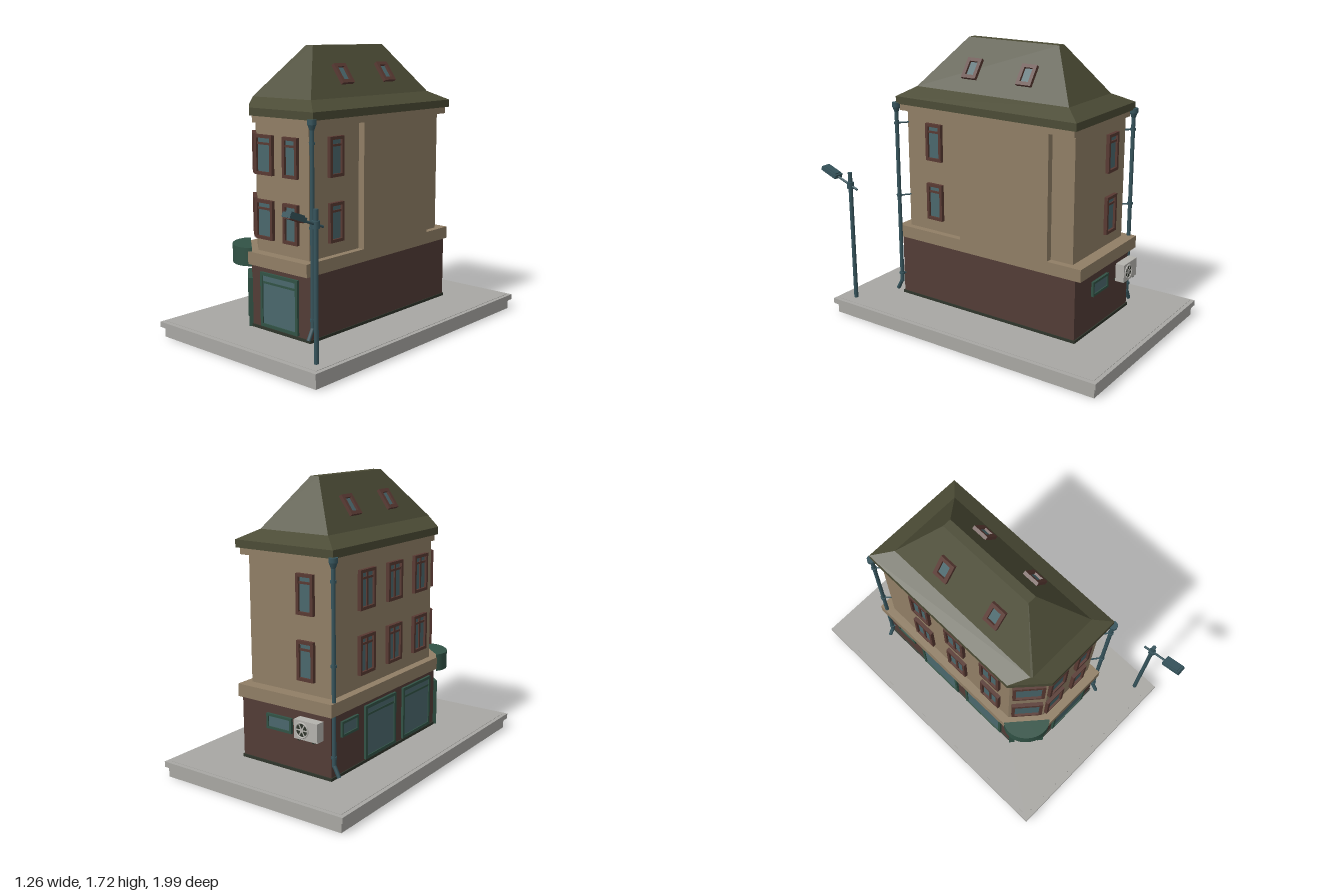
import * as THREE from 'three';

const mat = (name, color) => Object.assign(new THREE.MeshStandardMaterial({ color }), { name });

export function createModel() {
  const M = {
    stone: mat('paving grey', 0xa8a7a3), tan: mat('tan plaster', 0x907e65), brown: mat('brown render', 0x523c36),
    roof: mat('olive roof', 0x4b4b35), frame: mat('window brown', 0x583932), green: mat('shop green', 0x315245),
    glass: mat('glass', 0x4a676c), metal: mat('teal metal', 0x36545c), pale: mat('pale grey', 0xb4b2ad),
    dark: mat('dark base', 0x2f352b),
  };
  const root = new THREE.Group();
  root.name = 'cornerHouse';

  const add = (parent, name, geo, m, x = 0, y = 0, z = 0) => {
    const mesh = new THREE.Mesh(geo, m);
    mesh.name = name;
    mesh.position.set(x, y, z);
    parent.add(mesh);
    return mesh;
  };
  const box = (parent, name, m, w, h, d, x, y, z) => add(parent, name, new THREE.BoxGeometry(w, h, d), m, x, y, z);
  const group = (parent, name, x, y, z, ry = 0) => {
    const g = new THREE.Group();
    g.name = name;
    g.position.set(x, y, z);
    g.rotation.y = ry;
    parent.add(g);
    return g;
  };
  // cylinder between two points
  const rod = (parent, name, m, a, b, r, r2 = r, sides = 10) => {
    const p = new THREE.Vector3(...a), q = new THREE.Vector3(...b), d = q.clone().sub(p);
    const mesh = add(parent, name, new THREE.CylinderGeometry(r2, r, d.length(), sides), m);
    mesh.position.copy(p).add(q).multiplyScalar(0.5);
    mesh.quaternion.setFromUnitVectors(new THREE.Vector3(0, 1, 0), d.normalize());
    return mesh;
  };

  // floor plan with the front corner at -x cut off
  const plan = (x0, x1, z0, z1, cx, cz) => [[x0, z0], [x1, z0], [x1, z1], [cx, z1], [x0, cz]];
  // closed, flat-faced solid through plan outlines at given heights
  const loft = (rings) => {
    const pos = [], pts = rings.map(([y, p]) => p.map(([x, z]) => [x, y, z]));
    const tri = (a, b, c) => pos.push(...a, ...b, ...c);
    const n = pts[0].length, top = pts[pts.length - 1];
    for (let r = 0; r + 1 < pts.length; r++) for (let i = 0; i < n; i++) {
      const j = (i + 1) % n, lo = pts[r], hi = pts[r + 1];
      tri(lo[j], lo[i], hi[i]);
      tri(lo[j], hi[i], hi[j]);
    }
    for (let k = 1; k + 1 < n; k++) {
      tri(pts[0][0], pts[0][k], pts[0][k + 1]);
      tri(top[0], top[k + 1], top[k]);
    }
    const g = new THREE.BufferGeometry();
    g.setAttribute('position', new THREE.Float32BufferAttribute(pos, 3));
    g.computeVertexNormals();
    return g;
  };
  const prism = (name, m, p, y0, y1) => add(root, name, loft([[y0, p], [y1, p]]), m);

  // pavement
  box(root, 'pavementBase', M.stone, 1.23, 0.062, 1.85, 0, 0.031, -0.06);
  box(root, 'pavementSlab', M.stone, 1.265, 0.033, 1.885, 0, 0.0775, -0.0575);
  box(root, 'pavingSurface', M.stone, 1.215, 0.002, 1.83, 0, 0.095, -0.06);

  // walls, band and cornice
  const ground = plan(-0.325, 0.305, -0.675, 0.575, -0.155, 0.425);
  const upper = plan(-0.305, 0.266, -0.635, 0.54, -0.14, 0.395);
  prism('plinth', M.dark, plan(-0.332, 0.31, -0.682, 0.582, -0.158, 0.428), 0.095, 0.113);
  prism('groundFloor', M.brown, ground, 0.113, 0.48);
  prism('floorBand', M.tan, plan(-0.355, 0.307, -0.71, 0.605, -0.165, 0.44), 0.475, 0.55);
  prism('upperFloors', M.tan, upper, 0.55, 1.29);
  prism('cornice', M.tan, plan(-0.32, 0.315, -0.655, 0.558, -0.16, 0.41), 1.29, 1.332);
  box(root, 'sideWallProjection', M.tan, 0.05, 0.75, 0.615, 0.282, 0.92, -0.1825);

  // roof with flared eaves
  const eave = plan(-0.343, 0.33, -0.675, 0.575, -0.163, 0.41);
  add(root, 'roof', loft([
    [1.33, eave], [1.375, eave],
    [1.43, plan(-0.235, 0.233, -0.57, 0.487, -0.225, 0.477)],
    [1.72, plan(-0.028, 0.026, -0.375, 0.25, -0.027, 0.249)],
  ]), M.roof);

  // window facing +z, back plane at z = 0
  const windowUnit = (parent, name, w, h, x, y, z, ry, o = {}) => {
    const { m = M.frame, bar = 0.018, depth = 0.022, transom = 0.78, mullion = false } = o;
    const g = group(parent, name, x, y, z, ry);
    for (const s of [-1, 1]) {
      box(g, 'jamb', m, bar, h, depth, s * (w - bar) / 2, 0, depth / 2);
      box(g, 'rail', m, w - 2 * bar, bar, depth, 0, s * (h - bar) / 2, depth / 2);
    }
    box(g, 'pane', M.glass, w - 2 * bar, h - 2 * bar, 0.008, 0, 0, 0.004);
    if (transom) box(g, 'transom', m, w - 2 * bar, bar * 0.7, depth * 0.7, 0, h * (transom - 0.5), depth * 0.35);
    if (mullion) box(g, 'mullion', m, bar * 0.8, h - 2 * bar, depth * 0.7, 0, 0, depth * 0.35);
    return g;
  };
  const Q = Math.PI / 2;
  const diag = Math.atan2(-0.145, 0.165);

  // upper storey windows
  for (const y of [0.74, 1.112]) {
    windowUnit(root, 'frontWindowWide', 0.14, 0.228, -0.072, y, 0.54, 0);
    windowUnit(root, 'frontWindow', 0.112, 0.228, 0.136, y, 0.54, 0);
    windowUnit(root, 'cornerWindow', 0.185, 0.228, -0.2225, y, 0.4675, diag);
    windowUnit(root, 'leftWindow', 0.115, 0.228, 0.266, y, 0.332, Q);
    windowUnit(root, 'backWindow', 0.115, 0.228, -0.135, y, -0.635, Math.PI);
    for (const z of [-0.32, -0.035, 0.25])
      windowUnit(root, 'rightWindow', 0.15, 0.228, -0.305, y, z, -Q, { mullion: true });
  }

  // shop fronts and small ground floor windows
  const shop = { m: M.green, bar: 0.018, depth: 0.015, transom: 0.82 };
  windowUnit(root, 'frontShopWindow', 0.295, 0.32, 0.07, 0.28, 0.575, 0, shop);
  for (const z of [-0.2, 0.2]) windowUnit(root, 'sideShopWindow', 0.32, 0.32, -0.325, 0.28, z, -Q, shop);
  const small = { m: M.green, bar: 0.014, depth: 0.015, transom: 0 };
  windowUnit(root, 'backSmallWindow', 0.18, 0.09, 0.03, 0.36, -0.675, Math.PI, small);
  windowUnit(root, 'sideSmallWindow', 0.16, 0.09, -0.325, 0.37, -0.51, -Q, small);

  // corner door and rounded canopy
  const entry = group(root, 'cornerEntrance', -0.24, 0.095, 0.5, diag);
  for (const s of [-1, 1]) box(entry, 'doorPost', M.green, 0.036, 0.29, 0.024, s * 0.094, 0.145, 0.012);
  box(entry, 'doorHead', M.green, 0.152, 0.03, 0.024, 0, 0.275, 0.012);
  box(entry, 'door', M.green, 0.152, 0.26, 0.008, 0, 0.13, 0.004);
  for (const s of [-1, 1]) box(entry, 'doorStile', M.green, 0.018, 0.25, 0.016, s * 0.058, 0.125, 0.008);
  box(entry, 'doorTopRail', M.green, 0.1, 0.018, 0.016, 0, 0.241, 0.008);
  box(entry, 'doorBottomRail', M.green, 0.1, 0.03, 0.016, 0, 0.015, 0.008);
  const canopy = add(root, 'canopy', new THREE.CylinderGeometry(0.14, 0.14, 0.108, 20, 1, false, -Q, Math.PI), M.green, -0.247, 0.515, 0.498);
  canopy.rotation.y = diag;
  canopy.scale.z = 0.78;

  // skylights lying on the long roof slopes
  for (const s of [-1, 1]) for (const z of [-0.247, 0.133]) {
    const g = group(root, 'skylight', s * 0.145, 1.552, z);
    g.rotation.z = s * 0.615;
    windowUnit(g, 'skylightWindow', 0.1, 0.13, 0, 0, 0, s * Q, { transom: 0, bar: 0.022 });
  }

  // downpipes with hopper, brackets and angled shoe
  const downpipe = (name, x, z, kx, kz, bx, bz) => {
    const g = group(root, name, x, 0, z);
    rod(g, 'pipe', M.metal, [0, 0.18, 0], [0, 1.3, 0], 0.012);
    rod(g, 'hopperFunnel', M.metal, [0, 1.28, 0], [0, 1.31, 0], 0.013, 0.024);
    rod(g, 'hopperRim', M.metal, [0, 1.31, 0], [0, 1.337, 0], 0.026);
    rod(g, 'shoe', M.metal, [0, 0.19, 0], [kx, 0.125, kz], 0.012);
    for (const y of [0.235, 0.752, 1.21]) {
      rod(g, 'collar', M.metal, [0, y - 0.007, 0], [0, y + 0.007, 0], 0.017);
      rod(g, 'bracket', M.metal, [0, y, 0], [bx, y, bz], 0.005, 0.005, 6);
    }
  };
  downpipe('frontDownpipe', 0.325, 0.578, 0, 0.035, -0.06, -0.045);
  downpipe('backDownpipe', -0.34, -0.668, -0.033, 0, 0.045, 0.045);

  // air conditioner on the back wall
  const ac = group(root, 'airConditioner', -0.21, 0.385, -0.725, Math.PI);
  box(ac, 'casing', M.pale, 0.16, 0.11, 0.056, 0, 0, 0);
  const fan = add(ac, 'fanOpening', new THREE.CircleGeometry(0.042, 20), M.dark, -0.025, 0, 0.0285);
  fan.name = 'fanOpening';
  add(ac, 'fanRing', new THREE.TorusGeometry(0.042, 0.005, 6, 20), M.pale, -0.025, 0, 0.029);
  add(ac, 'fanHub', new THREE.CircleGeometry(0.013, 12), M.pale, -0.025, 0, 0.031);
  for (let i = 0; i < 3; i++) box(ac, 'fanBlade', M.pale, 0.078, 0.007, 0.002, -0.025, 0, 0.0295).rotation.z = i * Math.PI / 3;
  for (const s of [-1, 1]) box(ac, 'wallBracket', M.dark, 0.012, 0.01, 0.075, s * 0.05, -0.058, -0.012);

  // street lamp
  const lamp = group(root, 'streetLamp', 0.54, 0, 0.78);
  rod(lamp, 'pole', M.metal, [0, 0.095, 0], [0, 0.915, 0], 0.013);
  rod(lamp, 'poleCollar', M.metal, [0, 0.815, 0], [0, 0.855, 0], 0.021);
  rod(lamp, 'arm', M.metal, [0, 0.815, -0.055], [0, 0.878, 0.115], 0.007);
  const head = group(lamp, 'lampHead', 0, 0.896, 0.153);
  head.rotation.x = -0.36;
  box(head, 'lampHousing', M.metal, 0.058, 0.026, 0.122, 0, 0, 0);
  box(head, 'lampTop', M.metal, 0.042, 0.01, 0.1, 0, 0.016, 0);
  box(head, 'lampLens', M.frame, 0.046, 0.006, 0.1, 0, -0.015, 0);

  return root;
}
